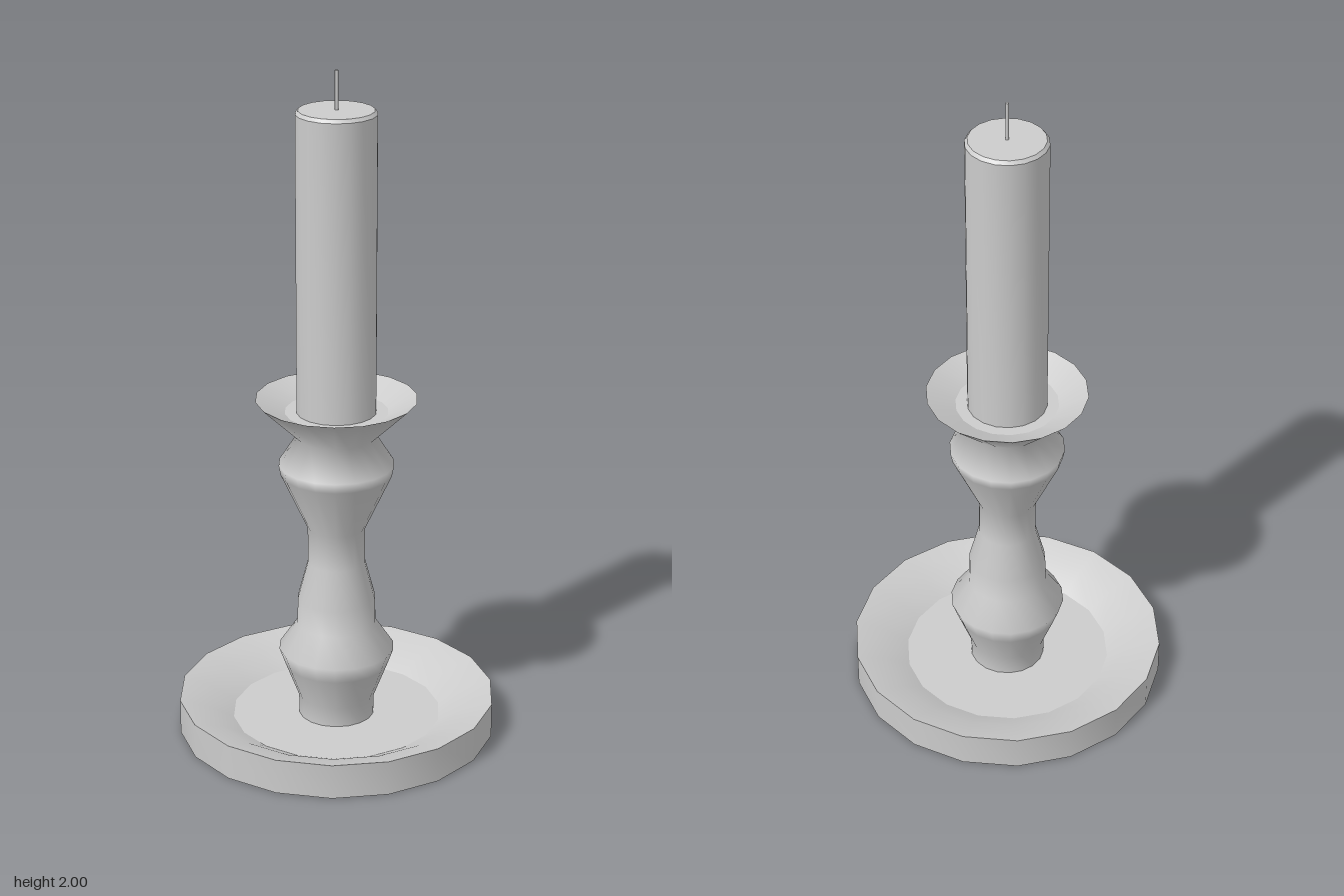
import * as THREE from 'three';
import { toCreasedNormals } from 'three/addons/utils/BufferGeometryUtils.js';

const SIDES = 18;
const material = new THREE.MeshStandardMaterial({ color: 0xcccccc });

// Turns a list of [radius, height] pairs; a crease angle keeps sharper edges hard.
function turned(name, profile, crease) {
  const points = profile.map(([r, y]) => new THREE.Vector2(r, y));
  let geometry = new THREE.LatheGeometry(points, SIDES, Math.PI / 2);
  if (crease) geometry = toCreasedNormals(geometry, crease);
  const mesh = new THREE.Mesh(geometry, material);
  mesh.name = name;
  return mesh;
}

export function createModel() {
  const model = new THREE.Group();
  model.name = 'candlestick';

  // Shallow drip tray with a sunken floor
  model.add(turned('baseDish', [
    [0, 0], [0.47, 0], [0.47, 0.105], [0.385, 0.08], [0.31, 0.04], [0, 0.04],
  ], 0.4));

  // Turned stem, flaring into the outside of the cup
  model.add(turned('stem', [
    [0.112, 0.04], [0.113, 0.1], [0.153, 0.205], [0.171, 0.255],
    [0.117, 0.335], [0.115, 0.415], [0.085, 0.53], [0.085, 0.64],
    [0.163, 0.81], [0.169, 0.84], [0.115, 0.925], [0.235, 1.04],
  ]));

  // Inside of the cup
  model.add(turned('cupInside', [[0.235, 1.04], [0.15, 1.0], [0, 1.0]], 0.4));

  // Candle with a small bevel round its top
  model.add(turned('candle', [
    [0.116, 1.0], [0.116, 1.878], [0.108, 1.888], [0, 1.888],
  ], 0.5));

  // Wick
  const wick = new THREE.Mesh(new THREE.CylinderGeometry(0.005, 0.005, 0.115, 8), material);
  wick.position.y = 1.9425;
  wick.name = 'wick';
  model.add(wick);

  return model;
}
